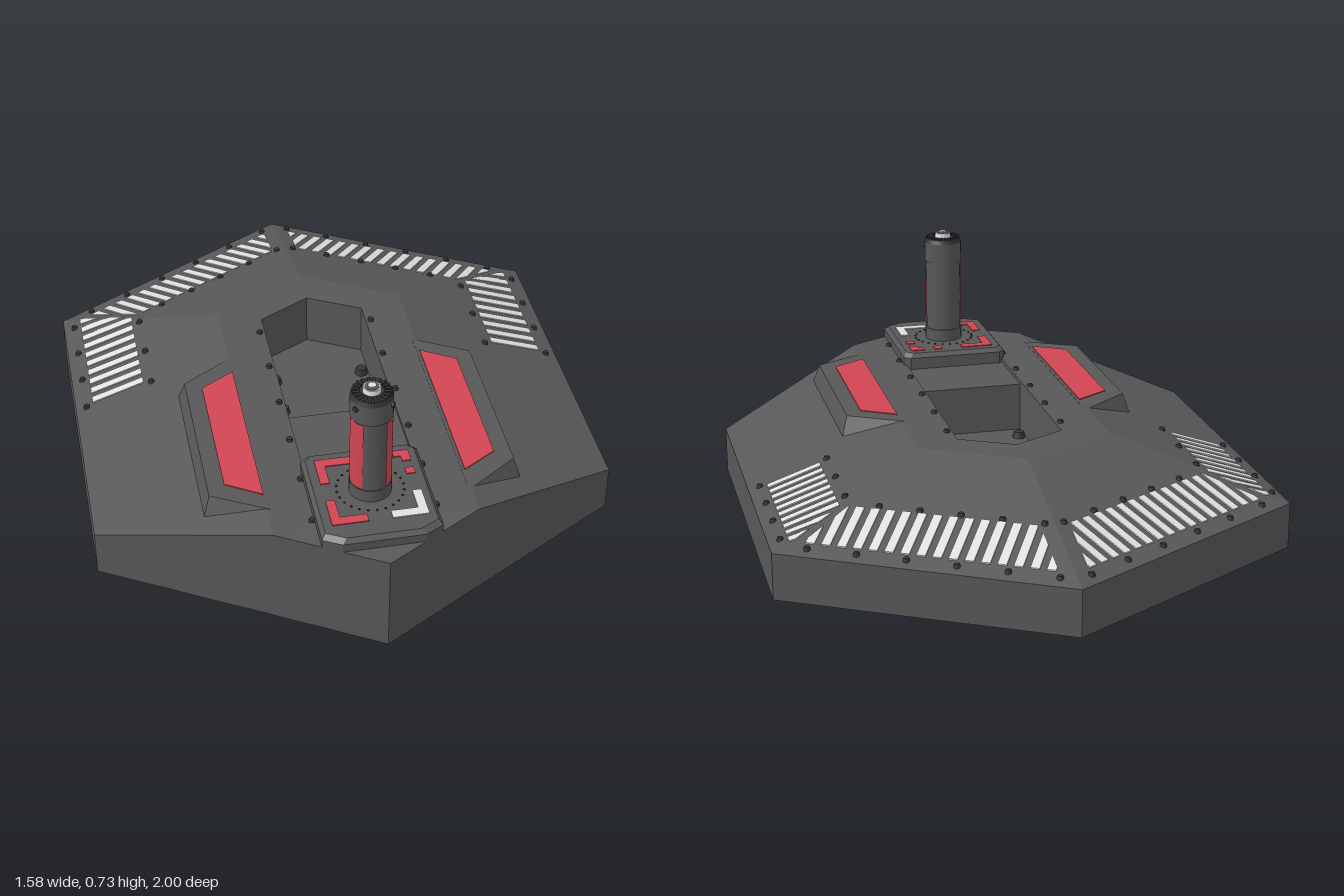
import * as THREE from 'three';
import { mergeGeometries } from 'three/addons/utils/BufferGeometryUtils.js';

const mat = (name, color, side = THREE.FrontSide) => {
  const m = new THREE.MeshStandardMaterial({ color, side });
  m.name = name;
  return m;
};

// Order a plan outline of [x, z] points counter-clockwise as seen from above
const ccw = (p) => {
  let a = 0;
  p.forEach(([x, z], i) => { const [u, v] = p[(i + 1) % p.length]; a += x * v - u * z; });
  return a < 0 ? p : p.slice().reverse();
};

// Flat-shaded skin through rings of [x, y, z] points, with optional end caps
function loft(rings, capStart = true, capEnd = true) {
  const pos = [];
  const tri = (a, b, c) => pos.push(...a, ...b, ...c);
  const n = rings[0].length;
  for (let r = 0; r + 1 < rings.length; r++) {
    for (let i = 0; i < n; i++) {
      const j = (i + 1) % n, b = rings[r], t = rings[r + 1];
      tri(b[i], b[j], t[j]);
      tri(b[i], t[j], t[i]);
    }
  }
  const last = rings[rings.length - 1];
  for (let i = 1; i + 1 < n; i++) {
    if (capStart) tri(rings[0][0], rings[0][i + 1], rings[0][i]);
    if (capEnd) tri(last[0], last[i], last[i + 1]);
  }
  const g = new THREE.BufferGeometry();
  g.setAttribute('position', new THREE.Float32BufferAttribute(pos, 3));
  g.computeVertexNormals();
  return g;
}

const ring = (p, y) => p.map(([x, z]) => [x, typeof y === 'function' ? y(x, z) : y, z]);
const prism = (plan, y0, y1) => { const p = ccw(plan); return loft([ring(p, y0), ring(p, y1)]); };
const rect = (x0, z0, x1, z1) => [[x0, z0], [x1, z0], [x1, z1], [x0, z1]];
const flip = (p, s) => p.map(([x, z]) => [x * s, z]);

// Keep the part of a plan outline where dot(point, n) <= d
function clip(p, [nx, nz], d) {
  const out = [];
  p.forEach((a, i) => {
    const b = p[(i + 1) % p.length];
    const da = a[0] * nx + a[1] * nz - d, db = b[0] * nx + b[1] * nz - d;
    if (da <= 0) out.push(a);
    if (da * db < 0) {
      const t = da / (da - db);
      out.push([a[0] + (b[0] - a[0]) * t, a[1] + (b[1] - a[1]) * t]);
    }
  });
  return out;
}

const TOP = 0.315, RIM = 0.145, FLOOR = 0.145;
// Height of the sloping deck
const deck = (x, z) => Math.min(TOP,
  TOP - 0.347 * (Math.abs(x) - 0.3),
  RIM + 0.17 * (0.866 - (Math.abs(x) * 0.499 - z * 0.8665)) / 0.501);

export function createModel() {
  const model = new THREE.Group();
  const body = mat('hull grey', 0x585858);
  const dark = mat('dark metal', 0x343434);
  const red = mat('signal red', 0xd04552, THREE.DoubleSide);
  const white = mat('vent white', 0xe0e0e0);
  const add = (name, geo, material) => {
    const m = new THREE.Mesh(geo, material);
    m.name = name;
    model.add(m);
    return m;
  };

  // Hexagonal hull: vertical walls, sloping deck and a raised plateau
  const F = [0, 1], P = [0.3, 0.825], A = [0.79, 0.54], B = [0.79, -0.545], K = [0, -1];
  const m = ([x, z]) => [-x, z];
  const plan = [F, P, A, B, K, m(B), m(A), m(P)];
  const q = [0.3, -0.25];
  const plateau = [F, P, P, q, [0, -0.42], m(q), m(P), m(P)];
  const rimY = (x, z) => (z > 0.8 ? TOP : RIM);
  add('hull', loft([ring(plan, 0), ring(plan, rimY), ring(plateau, TOP)], false, false), body);
  add('underside', loft([ring(plan, 0.002), ring(plan, 0.002)], true, false), body);

  // Plateau surface with the slot cut out
  const slot = ccw([[0.165, 0.56], [0.165, -0.2], [0, -0.29], [-0.165, -0.2], [-0.165, 0.56]]);
  const toV = ([x, z]) => new THREE.Vector2(x, -z);
  const shape = new THREE.Shape([F, P, q, [0, -0.42], m(q), m(P)].map(toV));
  shape.holes.push(new THREE.Path(slot.map(toV)));
  add('plateau', new THREE.ShapeGeometry(shape).rotateX(-Math.PI / 2).translate(0, TOP, 0), body);
  add('slot', loft([ring(slot, TOP), ring(slot, FLOOR)], false, true), body);
  add('slotCover', prism(rect(-0.165, 0.3, 0.165, 0.56), FLOOR, TOP - 0.012), body);

  const bolts = [];
  const bolt = (x, z, y, r = 0.011, h = 0.012) =>
    bolts.push(new THREE.CylinderGeometry(r * 0.75, r, h, 10).translate(x, y + h / 2, z));
  const boltRow = (a, b, n, s) => {
    for (let i = 0; i < n; i++) {
      const t = i / (n - 1), x = a[0] + (b[0] - a[0]) * t, z = a[1] + (b[1] - a[1]) * t;
      bolt(x * s, z, deck(x, z) - 0.003);
    }
  };

  const bars = [];
  // Cross bars along one vent, measured along direction d
  const vent = (outline, d, start, step, width, n, s) => {
    for (let i = 0; i < n; i++) {
      const a = start + i * step;
      const p = clip(clip(outline, d, a + width), [-d[0], -d[1]], -a);
      if (p.length > 2) bars.push(prism(flip(p, s), 0, (x, z) => deck(x, z) + 0.004));
    }
  };

  for (const s of [1, -1]) {
    const side = s > 0 ? 'left' : 'right';

    // Raised side pod with its red panel
    const podTop = ccw(flip([[0.29, -0.005], [0.455, 0.09], [0.455, 0.625], [0.29, 0.715]], s));
    const podBase = ccw(flip([[0.29, -0.025], [0.475, 0.07], [0.475, 0.645], [0.29, 0.735]], s));
    const baseY = (x) => TOP - 0.005 - 0.347 * Math.max(0, Math.abs(x) - 0.3);
    add(side + 'Pod', loft([ring(podBase, baseY), ring(podTop, TOP + 0.001)]), body);
    add(side + 'PodPanel', prism(flip([[0.3, 0.06], [0.405, 0.125], [0.405, 0.585], [0.3, 0.65]], s),
      TOP, TOP + 0.004), red);

    // Vents along the side and the back edge
    vent([[0.735, -0.05], [0.57, -0.05], [0.57, -0.425], [0.735, -0.525]],
      [0, -1], 0.06, 0.0475, 0.027, 10, s);
    vent([[0.042, -0.91], [0.7, -0.535], [0.545, -0.43], [0.042, -0.715]],
      [0.8665, 0.499], -0.41, 0.0475, 0.027, 17, s);

    // Bolts around the vents and the slot
    boltRow([0.755, -0.05], [0.755, -0.48], 4, s);
    boltRow([0.545, -0.05], [0.545, -0.375], 3, s);
    boltRow([0.045, -0.935], [0.69, -0.565], 6, s);
    boltRow([0.028, -0.71], [0.46, -0.465], 5, s);
    boltRow([0.182, -0.13], [0.182, 0.785], 6, s);
    for (const z of [-0.08, 0.075, 0.225]) bolt(0.142 * s, z, FLOOR, 0.022, 0.02);
  }
  add('ventBars', mergeGeometries(bars), white);

  // Pedestal with chamfered upper edge
  const ped = (k) => ccw([[0.155 - k, 0.54 + k], [0.175 - k, 0.56 + k], [0.175 - k, 0.9 - k], [0.12 - k, 0.93 - k],
    [k - 0.12, 0.93 - k], [k - 0.175, 0.9 - k], [k - 0.175, 0.56 + k], [k - 0.155, 0.54 + k]]);
  const pedY = 0.356;
  add('pedestal', loft([ring(ped(0), 0.3), ring(ped(0), 0.342), ring(ped(0.012), pedY)]), body);

  // Painted corner marks on the pedestal
  const mark = (r) => prism(rect(...r), pedY - 0.002, pedY + 0.003);
  add('redMarks', mergeGeometries([
    [-0.138, 0.577, -0.032, 0.608], [-0.138, 0.608, -0.111, 0.683],
    [-0.138, 0.757, -0.111, 0.832], [-0.138, 0.832, -0.032, 0.862],
    [0.037, 0.577, 0.063, 0.608], [0.095, 0.577, 0.143, 0.603],
    [0.116, 0.603, 0.143, 0.625], [0.116, 0.656, 0.143, 0.683]].map(mark)), red);
  add('whiteMarks', mergeGeometries([[0.037, 0.832, 0.143, 0.862], [0.116, 0.757, 0.143, 0.832]].map(mark)), white);

  // Ring of studs around the tower foot
  const tz = 0.722;
  for (let i = 0; i < 24; i++) {
    const a = i * Math.PI / 12;
    bolt(0.098 * Math.sin(a), tz + 0.098 * Math.cos(a), pedY - 0.002, 0.004, 0.005);
  }

  // Tower: core, collars, red side panels and cap
  const tube = (name, r, y0, y1, material, r2 = r) =>
    add(name, new THREE.CylinderGeometry(r2, r, y1 - y0, 32).translate(0, (y0 + y1) / 2, tz), material);
  tube('towerCore', 0.058, 0.35, 0.7, body);
  tube('towerFoot', 0.062, 0.35, 0.395, body);
  tube('towerCollar', 0.062, 0.633, 0.698, body);
  tube('towerCrown', 0.062, 0.698, 0.712, dark, 0.056);
  for (const s of [1, -1]) {
    const panel = new THREE.CylinderGeometry(0.0612, 0.0612, 0.232, 12, 1, true, s > 0 ? 0.58 : -1.6, 1.02);
    add(s > 0 ? 'leftTowerPanel' : 'rightTowerPanel', panel.translate(0, 0.515, tz), red);
    // Round fastener on the side of the collar
    bolts.push(new THREE.CylinderGeometry(0.009, 0.009, 0.01, 12).rotateX(Math.PI / 2)
      .translate(0, 0.68, 0.062).rotateY(s * 1.0).translate(0, 0, tz));
  }
  for (let i = 0; i < 20; i++) {
    bolts.push(new THREE.BoxGeometry(0.008, 0.008, 0.022).translate(0, 0.712, 0.046)
      .rotateY(i * Math.PI / 10).translate(0, 0, tz));
  }
  tube('capBase', 0.027, 0.708, 0.728, white, 0.025);
  tube('capRing', 0.021, 0.727, 0.73, body);
  tube('capCentre', 0.012, 0.728, 0.733, white);
  add('bolts', mergeGeometries(bolts), dark);
  return model;
}
